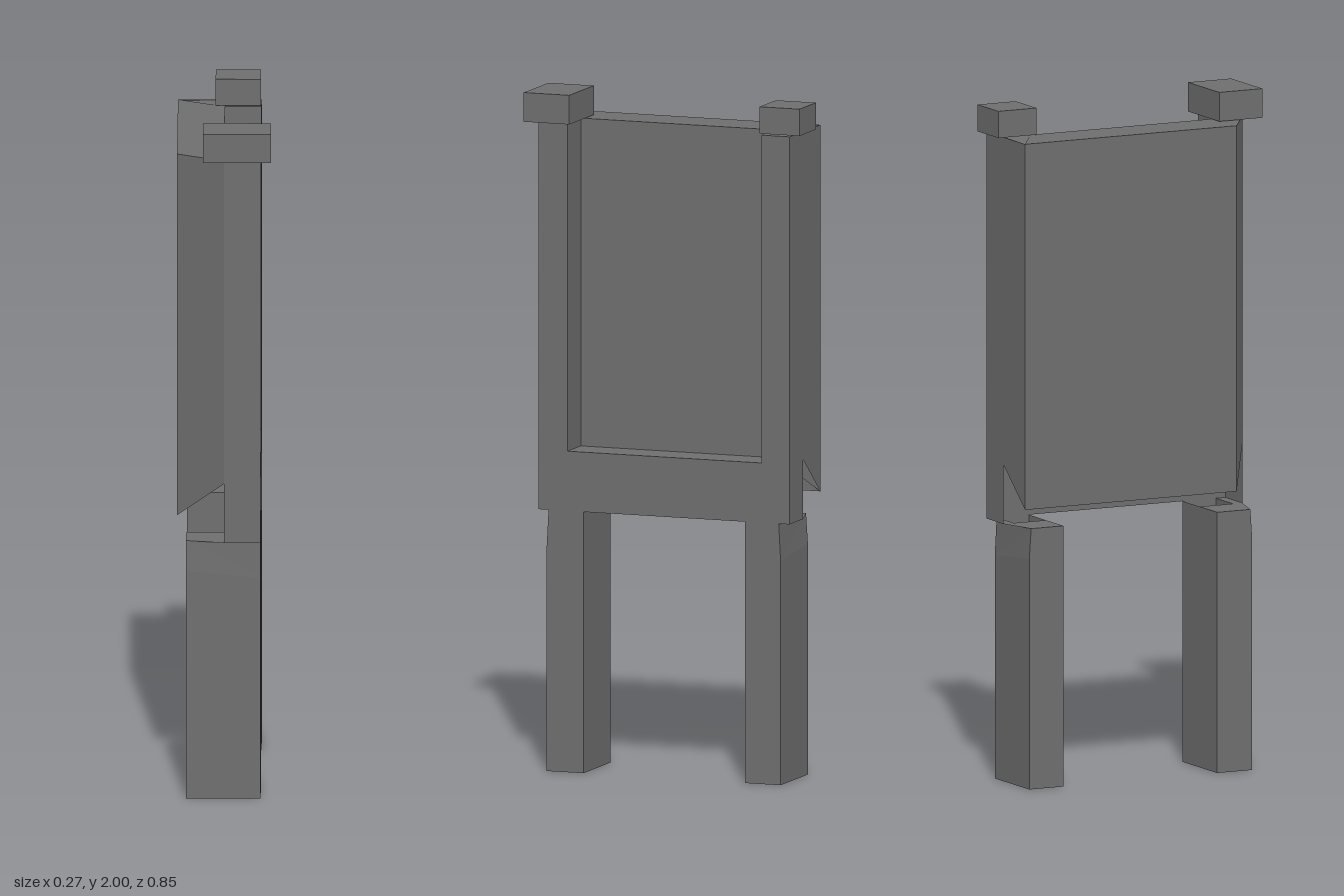
import * as THREE from 'three';

const material = new THREE.MeshStandardMaterial({
  color: 0x6f6f6f, flatShading: true, side: THREE.DoubleSide,
});

function addMesh(parent, name, geometry) {
  const mesh = new THREE.Mesh(geometry, material);
  mesh.name = name;
  parent.add(mesh);
  return mesh;
}

// Box given by its lowest and highest corners
function addBox(parent, name, a, b) {
  const mesh = addMesh(parent, name, new THREE.BoxGeometry(b[0] - a[0], b[1] - a[1], b[2] - a[2]));
  mesh.position.set((a[0] + b[0]) / 2, (a[1] + b[1]) / 2, (a[2] + b[2]) / 2);
}

// Thin flat polygon, fanned from its first corner
function addSheet(parent, name, ...corners) {
  const points = [];
  for (let i = 1; i < corners.length - 1; i++) points.push(...corners[0], ...corners[i + 1], ...corners[i]);
  const geometry = new THREE.BufferGeometry();
  geometry.setAttribute('position', new THREE.Float32BufferAttribute(points, 3));
  geometry.computeVertexNormals();
  addMesh(parent, name, geometry);
}

export function createModel() {
  const model = new THREE.Group();
  const front = 0.107, back = -0.137, frameBottom = 0.77, railTop = 0.946, top = 1.912, low = 0.832;

  // U-shaped frame: a front face with side walls, open below and behind
  const frame = new THREE.Group();
  frame.name = 'frame';
  model.add(frame);
  const outline = [
    [-0.395, frameBottom], [0.39, frameBottom], [0.39, top], [0.30, top],
    [0.30, railTop], [-0.307, railTop], [-0.307, top], [-0.395, top],
  ];
  const face = new THREE.ShapeGeometry(new THREE.Shape(outline.map(([z, y]) => new THREE.Vector2(-z, y))));
  face.rotateY(Math.PI / 2);
  addMesh(frame, 'frontFace', face).position.x = front;
  for (let i = 1; i < 8; i++) {
    const [z0, y0] = outline[i], [z1, y1] = outline[(i + 1) % 8];
    addSheet(frame, 'frameWall', [front, y0, z0], [front, y1, z1], [0, y1, z1], [0, y0, z0]);
  }

  // Hollow back, open below, with slanted ends
  const hollow = new THREE.Group();
  hollow.name = 'backShell';
  model.add(hollow);
  addSheet(hollow, 'recessPanel', [0, railTop, 0.30], [0, railTop, -0.307], [0, top, -0.307], [0, top, 0.30]);
  addSheet(hollow, 'backPanel', [back, low, -0.395], [back, low, 0.30], [back, top, 0.30], [back, top, -0.395]);
  addSheet(hollow, 'topPanel', [0, top, 0.39], [0, top, -0.307], [back, top, -0.395], [back, top, 0.30]);
  addSheet(hollow, 'topCorner', [0, top, -0.307], [0, top, -0.395], [back, top - 0.004, -0.395]);
  for (const [name, zFront, zBack] of [
    ['slantedEnd', 0.39, 0.30], ['innerEnd', -0.307, -0.395], ['flatEnd', -0.395, -0.395],
  ]) {
    addSheet(hollow, name, [back, low, zBack], [0, railTop, zFront], [0, top, zFront], [back, top, zBack]);
  }

  // Post caps, the near one larger
  addBox(model, 'largeCap', [-0.06, 1.914, 0.283], [0.137, 2, 0.425]);
  addBox(model, 'smallCap', [-0.027, 1.916, -0.425], [0.105, 1.995, -0.30]);

  // Legs: hollow, open at the foot, outer face easing inward near the top
  for (const [name, side, inner, outer] of [['nearLeg', 1, 0.25, 0.365], ['farLeg', -1, -0.255, -0.367]]) {
    const leg = new THREE.Group();
    leg.name = name;
    model.add(leg);
    const eased = outer - side * 0.006;
    const rings = [
      [0, 0, outer], [0.66, 0.68, outer], [frameBottom, frameBottom, eased],
    ].map(([yFront, yBack, z]) => [
      [front, yFront, inner], [front, yFront, z], [-0.11, yBack, z], [-0.11, yBack, inner],
    ]);
    for (let r = 0; r < 2; r++) {
      for (let i = 0; i < 4; i++) {
        const j = (i + 1) % 4;
        addSheet(leg, 'legWall', rings[r][i], rings[r][j], rings[r + 1][j], rings[r + 1][i]);
      }
    }
    // Flat top behind the post, and the narrow ledge under the post
    const edge = side > 0 ? 0.39 : -0.395;
    addSheet(leg, 'legTop', [0, frameBottom, inner], [0, frameBottom, edge],
      [-0.11, frameBottom, eased], [-0.11, frameBottom, inner]);
    addSheet(leg, 'postLedge', [front, frameBottom, eased], [front, frameBottom, edge],
      [0, frameBottom, edge], [0, frameBottom, eased]);
  }

  return model;
}
